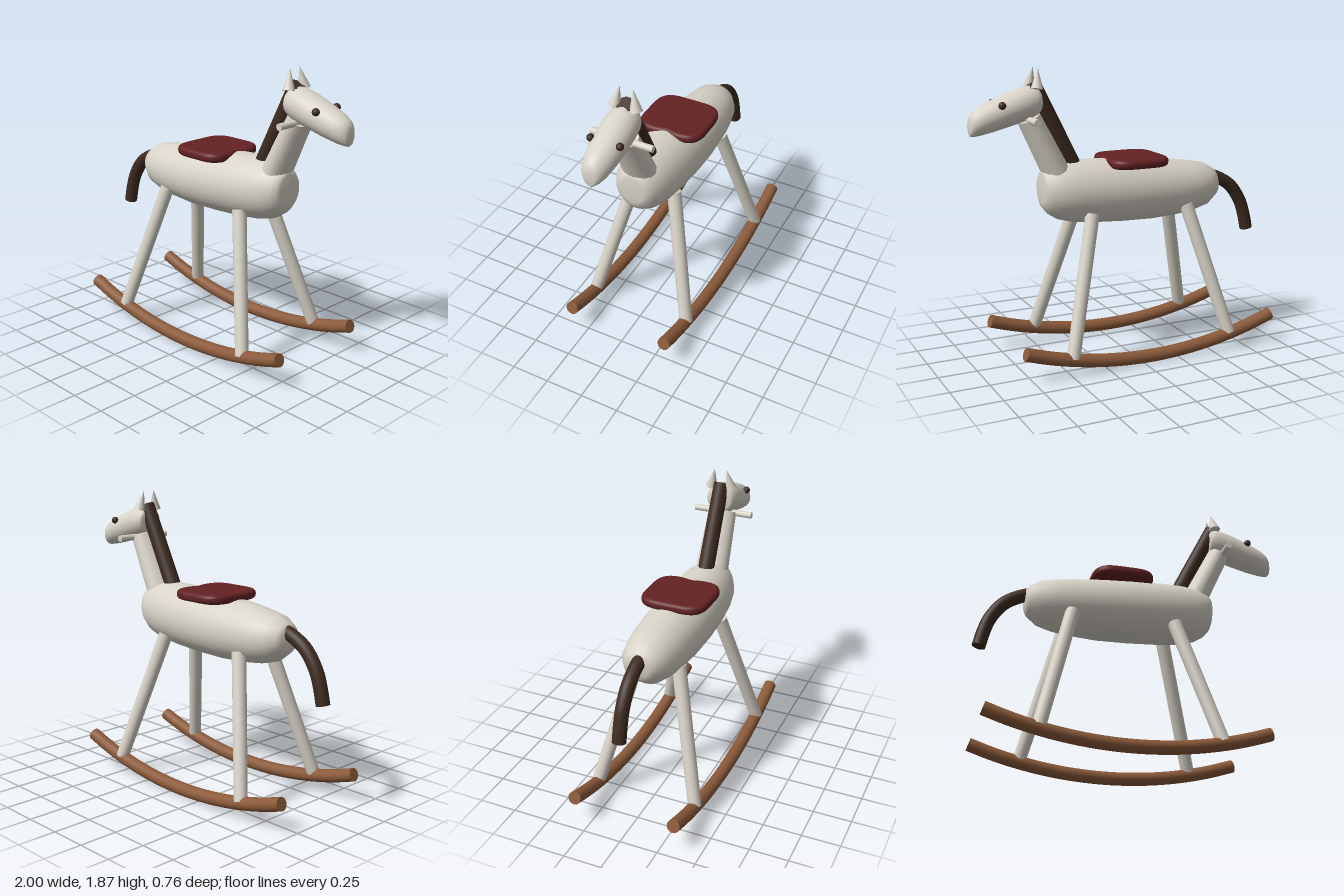
import * as THREE from 'three';
import { mergeGeometries } from 'three/addons/utils/BufferGeometryUtils.js';

const V = (x, y, z = 0) => new THREE.Vector3(x, y, z);

function material(name, color) {
  const m = new THREE.MeshStandardMaterial({ color });
  m.name = name;
  return m;
}

// Smooth skin over elliptical sections [x, bottomY, topY, halfWidth]
function loft(sections, sides = 36) {
  const first = sections[0], last = sections[sections.length - 1];
  const tip = s => [s[0], (s[1] + s[2]) / 2, (s[1] + s[2]) / 2, 0];
  const rows = [tip(first), ...sections, tip(last)];
  const pos = [], index = [];
  rows.forEach(([x, lo, hi, w], i) => {
    for (let j = 0; j < sides; j++) {
      const a = (j / sides) * Math.PI * 2;
      pos.push(x, (lo + hi) / 2 + ((hi - lo) / 2) * Math.cos(a), w * Math.sin(a));
      if (i === rows.length - 1) continue;
      const k = (j + 1) % sides;
      const A = i * sides + j, B = i * sides + k, C = A + sides, D = B + sides;
      index.push(A, B, C, B, D, C);
    }
  });
  const g = new THREE.BufferGeometry();
  g.setAttribute('position', new THREE.Float32BufferAttribute(pos, 3));
  g.setIndex(index);
  g.computeVertexNormals();
  return g;
}

// Round tube along a curve with flat end discs
function cappedTube(curve, radius, segments) {
  const parts = [new THREE.TubeGeometry(curve, segments, radius, 20)];
  for (const [t, sign] of [[0, -1], [1, 1]]) {
    const disc = new THREE.CircleGeometry(radius, 20);
    const dir = curve.getTangentAt(t).multiplyScalar(sign);
    disc.applyQuaternion(new THREE.Quaternion().setFromUnitVectors(V(0, 0, 1), dir));
    const p = curve.getPointAt(t);
    parts.push(disc.translate(p.x, p.y, p.z));
  }
  return mergeGeometries(parts);
}

export function createModel() {
  const group = new THREE.Group();
  group.name = 'rockingHorse';
  const cream = material('cream paint', 0xd8d3c8);
  const wood = material('brown wood', 0x8b5a3a);
  const dark = material('dark brown', 0x3d2b20);
  const red = material('dark red', 0x642224);

  const add = (name, geometry, mat) => {
    const m = new THREE.Mesh(geometry, mat);
    m.name = name;
    group.add(m);
    return m;
  };
  // Round rod from a to b
  const rod = (name, a, b, rA, rB, mat) => {
    const d = b.clone().sub(a);
    const m = add(name, new THREE.CylinderGeometry(rB, rA, d.length(), 24), mat);
    m.position.copy(a).addScaledVector(d, 0.5);
    m.quaternion.setFromUnitVectors(V(0, 1, 0), d.normalize());
    return m;
  };

  // Barrel body
  add('body', loft([
    [-0.69, 1.0, 1.13, 0.065], [-0.67, 0.965, 1.16, 0.105], [-0.6, 0.912, 1.2, 0.15],
    [-0.5, 0.885, 1.22, 0.173], [-0.4, 0.872, 1.235, 0.187], [-0.2, 0.86, 1.255, 0.202],
    [0, 0.865, 1.272, 0.207], [0.2, 0.877, 1.284, 0.2], [0.35, 0.893, 1.286, 0.184],
    [0.45, 0.92, 1.275, 0.162], [0.51, 0.958, 1.255, 0.132], [0.54, 0.995, 1.235, 0.105],
    [0.55, 1.03, 1.215, 0.075],
  ]), cream);

  // Neck, oval across, with head
  rod('neck', V(0.44, 1.2), V(0.625, 1.57), 0.085, 0.072, cream).scale.z = 1.3;
  add('head', loft([
    [0.558, 1.6, 1.735, 0.075], [0.57, 1.585, 1.752, 0.09], [0.6, 1.567, 1.765, 0.1],
    [0.65, 1.55, 1.76, 0.104], [0.72, 1.53, 1.74, 0.105], [0.85, 1.497, 1.69, 0.097],
    [0.93, 1.48, 1.655, 0.083], [0.975, 1.474, 1.627, 0.064], [0.993, 1.475, 1.6, 0.046],
    [1.0, 1.485, 1.575, 0.03],
  ]), cream);

  // Mane and tail
  rod('mane', V(0.335, 1.25), V(0.595, 1.772), 0.053, 0.05, dark);
  const tailPath = new THREE.CatmullRomCurve3([
    V(-0.64, 1.115), V(-0.72, 1.087), V(-0.82, 1.025), V(-0.9, 0.915), V(-0.935, 0.82), V(-0.96, 0.713),
  ]);
  add('tail', cappedTube(tailPath, 0.043, 32), dark);

  // Handle bar through the neck
  rod('handle', V(0.64, 1.56, -0.2), V(0.64, 1.56, 0.2), 0.021, 0.021, cream);

  // Saddle: rounded plate with a shallow notch at the front
  const b = 0.026;
  const s = new THREE.Shape();
  s.moveTo(0.09, 0);
  s.bezierCurveTo(0.09, 0.03, 0.104, 0.04, 0.104, 0.09);
  s.bezierCurveTo(0.104, 0.165, 0.07, 0.194, -0.01, 0.194);
  s.lineTo(-0.12, 0.194);
  s.bezierCurveTo(-0.22, 0.194, -0.247, 0.16, -0.247, 0.07);
  s.lineTo(-0.247, -0.07);
  s.bezierCurveTo(-0.247, -0.16, -0.22, -0.194, -0.12, -0.194);
  s.lineTo(-0.01, -0.194);
  s.bezierCurveTo(0.07, -0.194, 0.104, -0.165, 0.104, -0.09);
  s.bezierCurveTo(0.104, -0.04, 0.09, -0.03, 0.09, 0);
  const plate = new THREE.ExtrudeGeometry(s, {
    depth: 0.008, bevelThickness: b, bevelSize: b, bevelSegments: 6, curveSegments: 14,
  });
  plate.rotateX(-Math.PI / 2).translate(0, 1.23 + b, 0);
  add('saddle', plate, red);

  // Rocker arc, shared by both sides
  const R = 2.63, half = 0.338;
  const arc = [];
  for (let i = 0; i <= 12; i++) {
    const a = -half + (2 * half * i) / 12;
    arc.push(V(-0.075 + R * Math.sin(a), 0.042 + R * (1 - Math.cos(a))));
  }
  const rocker = cappedTube(new THREE.CatmullRomCurve3(arc), 0.042, 48);

  // Mirrored parts
  for (const [side, z] of [['left', 1], ['right', -1]]) {
    add(side + 'Rocker', rocker, wood).position.z = 0.335 * z;
    rod(side + 'FrontLeg', V(0.49, 0.11, 0.338 * z), V(0.264, 0.96, 0.135 * z), 0.042, 0.045, cream);
    rod(side + 'BackLeg', V(-0.625, 0.11, 0.338 * z), V(-0.404, 0.96, 0.135 * z), 0.042, 0.045, cream);
    rod(side + 'Ear', V(0.592, 1.746, 0.068 * z), V(0.575, 1.87, 0.042 * z), 0.038, 0.001, cream);
    const eye = add(side + 'Eye', new THREE.SphereGeometry(0.023, 20, 14), dark);
    eye.position.set(0.82, 1.66, 0.093 * z);
  }
  return group;
}
